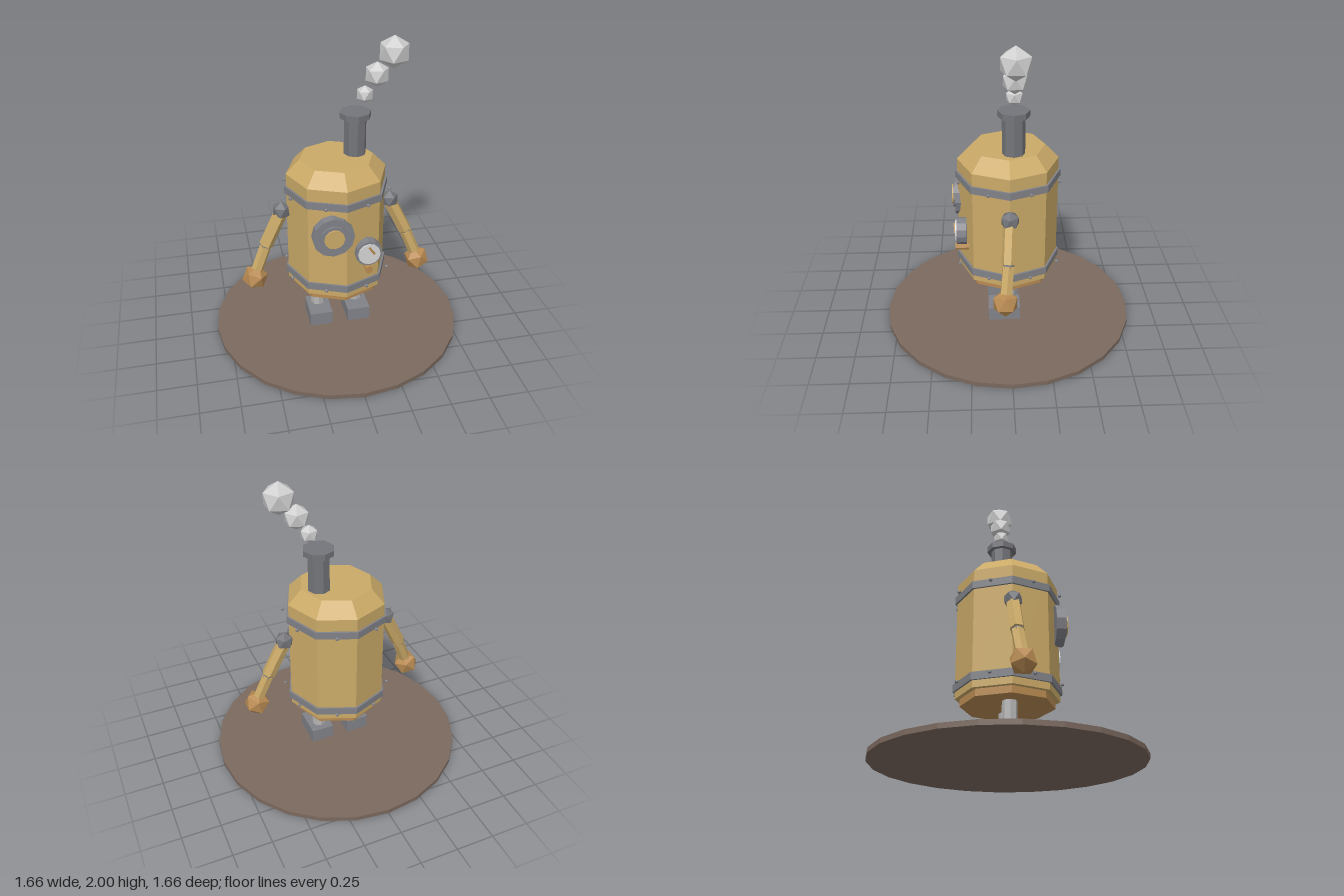
import * as THREE from 'three';

const mat = (name, color) => {
  const m = new THREE.MeshStandardMaterial({ color });
  m.name = name;
  return m;
};

// Faceted copy of a geometry, one normal per face
function faceted(geo) {
  const g = geo.index ? geo.toNonIndexed() : geo;
  g.computeVertexNormals();
  return g;
}

// Icosahedron standing on one of its corners
const nugget = (r) => new THREE.IcosahedronGeometry(r, 0).rotateZ(-0.5536);

export function createModel() {
  const root = new THREE.Group();
  root.name = 'steamRobot';
  const brass = mat('brass', 0xcbaa68);
  const copper = mat('copper', 0xb88a52);
  const steel = mat('steel', 0x818288);
  const iron = mat('iron', 0x74757a);
  const paleMetal = mat('paleMetal', 0xb6b6b6);
  const smoke = mat('smoke', 0xcfcfcf);
  const dial = mat('dial', 0xd4d4d4);
  const earth = mat('earth', 0x7a695e);

  function add(name, geo, material, x = 0, y = 0, z = 0) {
    const mesh = new THREE.Mesh(faceted(geo), material);
    mesh.name = name;
    mesh.position.set(x, y, z);
    root.add(mesh);
    return mesh;
  }
  // Upright prism between two heights
  const prism = (name, r, y0, y1, material, sides = 8, x = 0, z = 0, rTop = r) =>
    add(name, new THREE.CylinderGeometry(rTop, r, y1 - y0, sides), material, x, (y0 + y1) / 2, z);
  // Disc facing the front, between two depths
  const disc = (name, r, z0, z1, material, sides, x, y) =>
    add(name, new THREE.CylinderGeometry(r, r, z1 - z0, sides).rotateX(Math.PI / 2), material, x, y, (z0 + z1) / 2);
  // Rod between two points
  function rod(name, a, b, r, sides, material) {
    const from = new THREE.Vector3(...a), to = new THREE.Vector3(...b);
    const dir = to.clone().sub(from);
    const mesh = add(name, new THREE.CylinderGeometry(r, r, dir.length(), sides), material);
    mesh.position.copy(from).add(to).multiplyScalar(0.5);
    mesh.quaternion.setFromUnitVectors(new THREE.Vector3(0, 1, 0), dir.normalize());
  }

  // Ground plate
  prism('base', 0.83, 0, 0.03, earth, 24);

  // Boiler body
  prism('bodyFloor', 0.295, 0.345, 0.39, copper);
  prism('body', 0.325, 0.39, 1.16, brass);
  prism('bodyDome', 0.325, 1.16, 1.25, brass, 8, 0, 0, 0.238);

  // Riveted bands
  for (const y of [0.458, 1.053]) {
    prism('band', 0.339, y - 0.024, y + 0.024, steel);
    for (let i = 0; i < 8; i++) {
      const a = (i + 0.5) * Math.PI / 4;
      add('rivet', nugget(0.013), steel, 0.345 * Math.sin(a), y, 0.345 * Math.cos(a));
    }
  }

  // Chimney and smoke puffs
  prism('chimney', 0.072, 1.24, 1.5, iron, 8, 0.128, -0.03);
  prism('chimneyCap', 0.1, 1.495, 1.533, iron, 8, 0.128, -0.03);
  for (const [x, y, r] of [[0.187, 1.64, 0.057], [0.262, 1.763, 0.081], [0.366, 1.897, 0.103]])
    add('smokePuff', nugget(r), smoke, x, y, -0.03);

  // Porthole
  disc('portholeFrame', 0.133, 0.285, 0.343, steel, 12, -0.087, 0.862);
  disc('portholeRing', 0.086, 0.343, 0.356, steel, 12, -0.087, 0.862);
  disc('portholeGlass', 0.065, 0.356, 0.366, brass, 12, -0.087, 0.862);

  // Pressure gauge with needle, and the knob below it
  disc('gaugeRim', 0.087, 0.27, 0.335, steel, 12, 0.14, 0.713);
  disc('gaugeFace', 0.072, 0.335, 0.345, dial, 12, 0.14, 0.713);
  const needle = add('gaugeNeedle', new THREE.BoxGeometry(0.014, 0.062, 0.008), copper, 0.155, 0.74, 0.349);
  needle.rotation.z = 0.62;
  disc('knob', 0.026, 0.26, 0.347, copper, 8, 0.14, 0.597);

  // Arms and legs
  for (const s of [1, -1]) {
    add('shoulder', nugget(0.063), iron, s * 0.36, 0.903, 0);
    rod('upperArm', [s * 0.365, 0.885, 0], [s * 0.473, 0.662, 0.013], 0.045, 6, brass);
    rod('elbow', [s * 0.463, 0.682, 0.012], [s * 0.482, 0.638, 0.015], 0.036, 6, iron);
    rod('forearm', [s * 0.476, 0.652, 0.014], [s * 0.545, 0.48, 0.032], 0.039, 6, brass);
    const hand = add('hand', nugget(0.086), copper, s * 0.558, 0.437, 0.037);
    hand.rotation.z = s * 0.35;

    prism('leg', 0.047, 0.15, 0.36, paleMetal, 8, s * 0.13);
    add('foot', new THREE.BoxGeometry(0.152, 0.093, 0.212), steel, s * 0.13, 0.094, 0.031);
  }
  return root;
}
